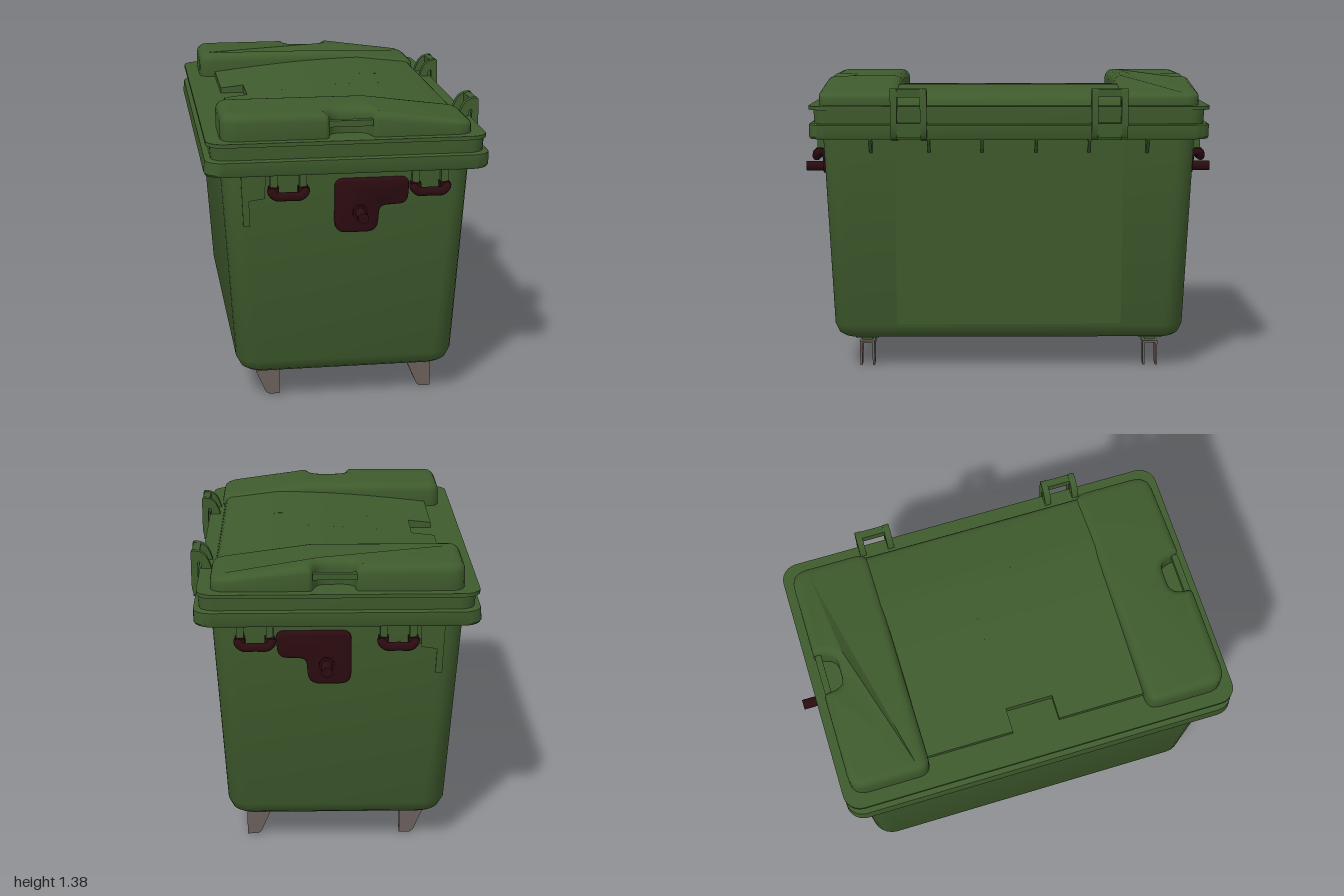
import * as THREE from 'three';
import { toCreasedNormals } from 'three/addons/utils/BufferGeometryUtils.js';

const green = new THREE.MeshStandardMaterial({ color: 0x3f5b2d });
green.name = 'binGreen';
const maroon = new THREE.MeshStandardMaterial({ color: 0x2b0b10 });
maroon.name = 'darkMaroon';
const grey = new THREE.MeshStandardMaterial({ color: 0x6b605c });
grey.name = 'casterGrey';

// Solid through stacked rounded rectangles [y, x0, x1, halfZ, radius]
function loft(sections) {
  const pos = [], index = [], steps = 7, n = steps * 4;
  for (const [y, x0, x1, hz, r] of sections) {
    for (let c = 0; c < 4; c++) {
      const cx = c === 0 || c === 3 ? x1 - r : x0 + r;
      const cz = c < 2 ? hz - r : r - hz;
      for (let i = 0; i < steps; i++) {
        const a = (c + i / (steps - 1)) * Math.PI / 2;
        pos.push(cx + r * Math.cos(a), y, cz + r * Math.sin(a));
      }
    }
  }
  const last = sections.length - 1;
  for (let k = 0; k < last; k++) {
    for (let i = 0; i < n; i++) {
      const a = k * n + i, b = k * n + (i + 1) % n;
      index.push(a, a + n, b, b, a + n, b + n);
    }
  }
  const bottom = pos.length / 3;
  for (const k of [0, last]) pos.push((sections[k][1] + sections[k][2]) / 2, sections[k][0], 0);
  for (let i = 0; i < n; i++) {
    const j = (i + 1) % n;
    index.push(bottom, i, j, bottom + 1, last * n + j, last * n + i);
  }
  const geo = new THREE.BufferGeometry();
  geo.setAttribute('position', new THREE.Float32BufferAttribute(pos, 3));
  geo.setIndex(index);
  return toCreasedNormals(geo, 0.6);
}

// Polygon with rounded corners; points are [x, y, radius]
function roundedShape(points) {
  const shape = new THREE.Shape(), n = points.length;
  points.forEach(([x, y, r = 0], i) => {
    const p = new THREE.Vector2(x, y);
    const toward = (q) => {
      const d = new THREE.Vector2(q[0] - x, q[1] - y);
      return p.clone().addScaledVector(d, r / d.length());
    };
    const a = toward(points[(i + n - 1) % n]), b = toward(points[(i + 1) % n]);
    if (i) shape.lineTo(a.x, a.y); else shape.moveTo(a.x, a.y);
    if (r) shape.quadraticCurveTo(x, y, b.x, b.y);
  });
  shape.closePath();
  return shape;
}

// Extrusion centred on z = 0, total thickness given, edges optionally rounded
function slab(shape, depth, bevel = 0) {
  const geo = new THREE.ExtrudeGeometry(shape, {
    depth: depth - 2 * bevel, bevelEnabled: bevel > 0, bevelThickness: bevel,
    bevelSize: bevel, bevelOffset: -bevel, bevelSegments: 4, curveSegments: 6,
  });
  geo.translate(0, 0, bevel - depth / 2);
  return toCreasedNormals(geo, 0.6);
}

export function createModel() {
  const model = new THREE.Group();
  const add = (name, geo, mat = green, x = 0, y = 0, z = 0) => {
    const m = new THREE.Mesh(geo, mat);
    m.name = name;
    m.position.set(x, y, z);
    model.add(m);
    return m;
  };
  const box = (name, mat, x0, x1, y0, y1, z, dz) =>
    add(name, new THREE.BoxGeometry(x1 - x0, y1 - y0, dz), mat, (x0 + x1) / 2, (y0 + y1) / 2, z);

  // Tapered tub, rim and lid flange
  add('tub', loft([
    [0.15, -0.47, 0.45, 0.79, 0.08], [0.165, -0.49, 0.47, 0.812, 0.09],
    [0.21, -0.513, 0.49, 0.832, 0.1], [1.13, -0.575, 0.545, 0.87, 0.09]]));
  add('tubRim', loft([
    [1.11, -0.645, 0.615, 0.92, 0.08], [1.12, -0.65, 0.62, 0.925, 0.08],
    [1.175, -0.645, 0.62, 0.925, 0.08], [1.18, -0.635, 0.61, 0.915, 0.08]]));
  add('lidSkirt', loft([[1.175, -0.618, 0.595, 0.9, 0.07], [1.25, -0.625, 0.6, 0.905, 0.07]]));
  add('lidFlange', loft([[1.243, -0.64, 0.605, 0.928, 0.08], [1.26, -0.64, 0.605, 0.928, 0.08]]));

  // Sloping middle of the lid, with a hand pocket in its edge
  const crown = (x) => 1.285 + 0.055 * Math.sin(Math.min(1, (x + 0.5) / 0.75) * Math.PI / 2) - Math.max(0, x - 0.25) * 0.12;
  const middle = (x0) => {
    const s = new THREE.Shape();
    s.moveTo(x0, 1.22);
    for (let i = 0; i <= 16; i++) {
      const x = x0 + (0.5 - x0) * i / 16;
      s.lineTo(x, crown(x));
    }
    s.quadraticCurveTo(0.535, 1.305, 0.545, 1.22);
    s.closePath();
    return s;
  };
  add('lidMiddle', slab(middle(-0.39), 0.22));
  for (const s of [-1, 1]) add('lidMiddleSide', slab(middle(-0.5), 0.43), green, 0, 0, s * 0.325);

  for (const s of [-1, 1]) {
    // Raised lid end with a notch, its top falling toward the hinge side
    const plan = roundedShape([
      [-0.575, 0.515, 0.06], [0.1, 0.515], [0.545, 0.515, 0.06], [0.545, 0.885, 0.08],
      [0.1, 0.885, 0.02], [0.075, 0.785, 0.05], [-0.085, 0.785, 0.05], [-0.1, 0.885, 0.02],
      [-0.575, 0.885, 0.08]].map(([x, z, r]) => [x, -s * z, r]));
    let hump = slab(plan, 0.155, 0.04);
    hump.rotateX(-Math.PI / 2).translate(0, 1.2975, 0);
    const p = hump.attributes.position;
    for (let i = 0; i < p.count; i++) {
      const y = p.getY(i), x = p.getX(i);
      if (y > 1.26 && x > 0.1) p.setY(i, 1.26 + (y - 1.26) * (1 - (x - 0.1) * 1.2));
    }
    hump.deleteAttribute('normal');
    add('lidEnd', toCreasedNormals(hump, 0.6));
    box('lidGrip', green, -0.1, 0.095, 1.31, 1.338, s * 0.865, 0.03);

    // Lifting plate with trunnion
    add('liftPlate', slab(roundedShape([
      [-0.075, 0.83, 0.05], [0.115, 0.83, 0.05], [0.125, 0.95, 0.03], [0.25, 0.955, 0.04],
      [0.26, 1.075, 0.04], [-0.075, 1.075, 0.04]]), 0.06, 0.014), maroon, 0, 0, s * 0.868);
    const pin = add('trunnion', new THREE.CylinderGeometry(0.024, 0.024, 0.13, 20), maroon, 0.035, 0.925, s * 0.935);
    pin.rotation.x = Math.PI / 2;
    const collar = add('trunnionCollar', new THREE.CylinderGeometry(0.034, 0.034, 0.03, 20), maroon, 0.035, 0.925, s * 0.9);
    collar.rotation.x = Math.PI / 2;

    // Grab handles with their brackets
    for (const cx of [-0.282, 0.35]) {
      const path = new THREE.CatmullRomCurve3([
        [-0.065, 1.04, 0.87], [-0.075, 1.033, 0.9], [-0.055, 1.013, 0.907], [0, 1.012, 0.907],
        [0.055, 1.013, 0.907], [0.075, 1.033, 0.9], [0.065, 1.04, 0.87],
      ].map(([x, y, z]) => new THREE.Vector3(cx + x, y, s * z)));
      add('handle', new THREE.TubeGeometry(path, 32, 0.02, 10), maroon);
      for (const side of [-1, 1]) {
        const x = cx + side * 0.065;
        box('handleLug', maroon, x - 0.022, x + 0.022, 1.02, 1.052, s * 0.885, 0.045);
        box('handleBracket', green, x - 0.016, x + 0.016, 1.04, 1.12, s * 0.88, 0.04);
      }
    }

    // Thin stepped panel beside the handle
    const panel = add('cornerPanel', slab(roundedShape([
      [-0.49, 0.11], [-0.48, -0.13], [-0.45, -0.13], [-0.455, -0.015], [-0.385, -0.005], [-0.38, 0.11]]), 0.012),
      green, 0, 1, s * 0.866);
    panel.rotation.x = s * 0.044;

    // Hinges: two looped straps joined by cross pieces
    const strap = roundedShape([
      [0.55, 1.1, 0.01], [0.625, 1.11, 0.02], [0.645, 1.16, 0.03], [0.645, 1.345, 0.012],
      [0.585, 1.345, 0.05], [0.55, 1.26, 0.03]]);
    strap.holes.push(roundedShape([
      [0.596, 1.185, 0.008], [0.614, 1.185, 0.008], [0.614, 1.295, 0.012], [0.598, 1.285, 0.008]]));
    for (const side of [-1, 1]) add('hingeStrap', slab(strap, 0.03), green, 0, 0, s * 0.46 + side * 0.068);
    box('hingeTopBar', green, 0.605, 0.64, 1.305, 1.342, s * 0.46, 0.11);
    box('hingeBase', green, 0.57, 0.64, 1.12, 1.185, s * 0.46, 0.11);

    // Gussets under the long rims
    const gusset = new THREE.Shape([[0, 0], [0.075, 0], [0.06, -0.03], [0.02, -0.06], [0, -0.075]].map(([x, y]) => new THREE.Vector2(x, y)));
    for (const z of [0.125, 0.37, 0.64]) {
      add('gusset', slab(gusset, 0.014), green, 0.54, 1.115, s * z);
      add('gusset', slab(gusset, 0.014), green, -0.57, 1.115, s * z).rotation.y = Math.PI;
    }

    // Casters: green mount and a slanted two-sided fork
    for (const cx of [-0.365, 0.35]) {
      const z = s * 0.68;
      box('casterPlate', green, cx - 0.05, cx + 0.045, 0.134, 0.155, z, 0.11);
      box('casterPost', green, cx - 0.025, cx + 0.02, 0.112, 0.14, z, 0.05);
      box('forkBridge', grey, cx - 0.05, cx + 0.055, 0.108, 0.118, z, 0.07);
      const fork = roundedShape([
        [cx - 0.055, 0.118], [cx - 0.01, 0.012, 0.01], [cx + 0.005, 0, 0.008], [cx + 0.055, 0], [cx + 0.055, 0.118]]);
      for (const side of [-1, 1]) add('forkSide', slab(fork, 0.01), grey, 0, 0, z + side * 0.03);
    }
  }

  // Shallow centre panel on the hinge-side wall
  const sidePanel = box('sidePanel', green, 0.512, 0.52, 0.22, 1.11, 0, 1.06);
  sidePanel.rotation.z = -0.06;
  return model;
}
